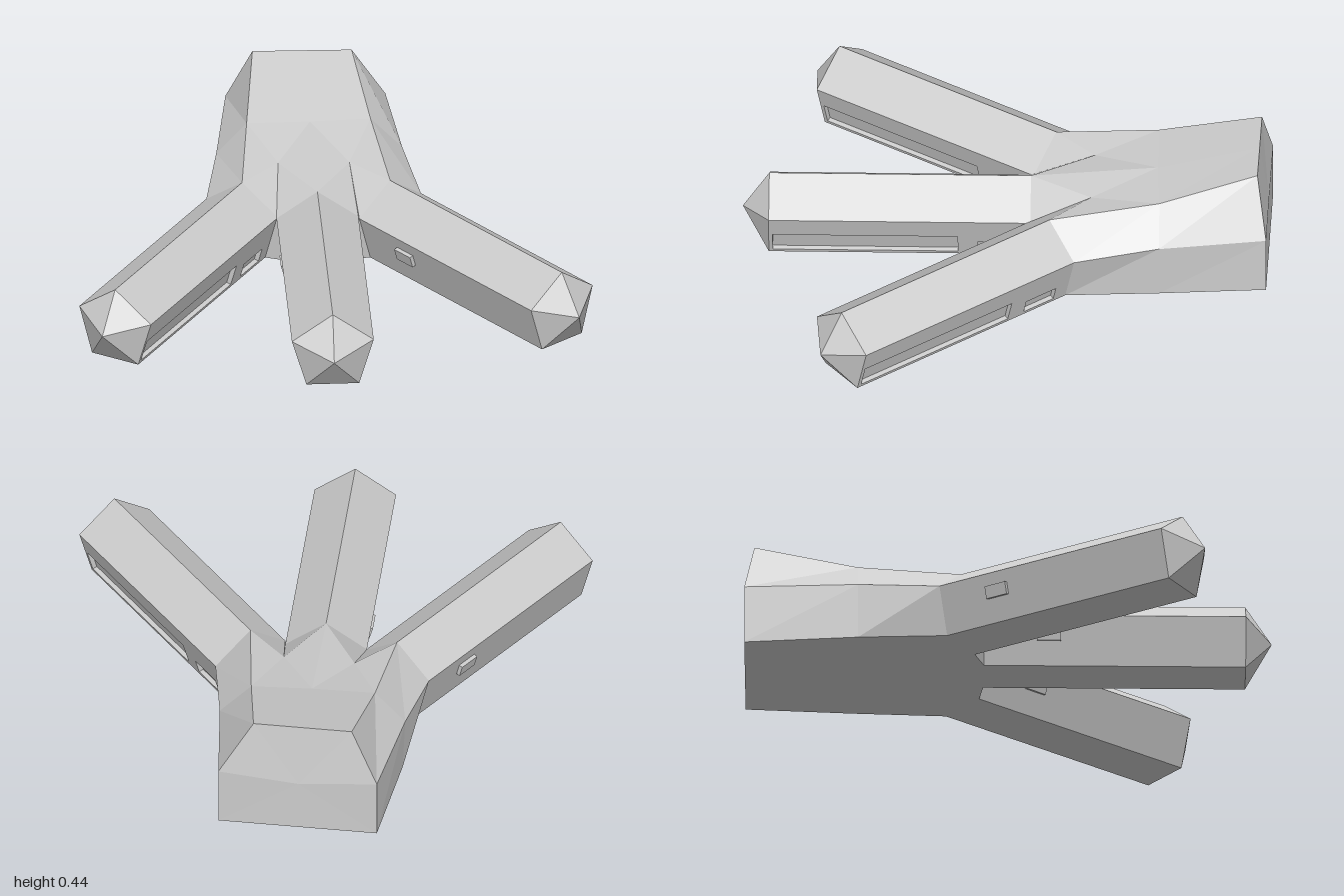
import * as THREE from 'three';

const material = new THREE.MeshStandardMaterial({ color: 0xcccccc, flatShading: true, side: THREE.DoubleSide });
const v = (x, y, z) => new THREE.Vector3(x, y, z);

function named(name, geometry) {
  const mesh = new THREE.Mesh(geometry, material);
  mesh.name = name;
  return mesh;
}

// Flat-faced surface from triangles
function surface(tris) {
  const g = new THREE.BufferGeometry().setFromPoints(tris);
  g.computeVertexNormals();
  return g;
}
const quad = (a, b, c, d) => [a, b, c, a, c, d];
const strip = (back, front, i, j) => quad(back[i], front[i], front[j], back[j]);
const fan = (centre, loop) => loop.flatMap((p, i) => [centre, p, loop[(i + 1) % loop.length]]);

// Pentagonal toe section: half width, height (from -x side over the ridge to +x side)
const SECTION = [[-0.1, 0], [-0.155, 0.185], [0, 0.295], [0.155, 0.185], [0.1, 0]];
const BOTTOM_RIGHT = 4, SHOULDER_RIGHT = 3;

function makeToe(name, x0, z0, x1, z1) {
  const dir = v(x1 - x0, 0, z1 - z0);
  const length = dir.length();
  dir.normalize();
  const right = v(dir.z, 0, -dir.x);
  const ring = (x, z) => SECTION.map(([w, h]) => v(x, h, z).addScaledVector(right, w));
  const base = ring(x0, z0), end = ring(x1, z1);
  const tip = v(x1, 0.14, z1).addScaledVector(dir, 0.1);
  const group = new THREE.Group();
  group.name = name;

  // Shell with pointed end; the +x lower side is left for the slotted plate
  const tris = [];
  for (let i = 0; i < 5; i++) {
    const j = (i + 1) % 5;
    if (i !== SHOULDER_RIGHT) tris.push(...strip(base, end, i, j));
    tris.push(end[i], tip, end[j]);
  }
  group.add(named('toeShell', surface(tris)));

  // Side plate with a long slot and a small window
  const up = base[SHOULDER_RIGHT].clone().sub(base[BOTTOM_RIGHT]);
  const height = up.length();
  up.normalize();
  const inward = dir.clone().cross(up);
  const rect = (Type, a, b, c, d) => new Type([[a, b], [c, b], [c, d], [a, d]].map(p => new THREE.Vector2(...p)));
  const plate = rect(THREE.Shape, 0, 0, length, height);
  plate.holes.push(
    rect(THREE.Path, 0.275, 0.014, length - 0.015, 0.104),
    rect(THREE.Path, 0.06, 0.014, 0.2, 0.073)
  );
  const depth = 0.018;
  const place = new THREE.Matrix4().makeBasis(dir, up, inward).setPosition(base[BOTTOM_RIGHT]);
  group.add(named('slottedSide', new THREE.ExtrudeGeometry(plate, { depth, bevelEnabled: false }).applyMatrix4(place)));
  const floor = new THREE.PlaneGeometry(length, height).rotateY(Math.PI)
    .translate(length / 2, height / 2, depth + 0.0005).applyMatrix4(place);
  group.add(named('slotFloor', floor));

  // Small raised button on the -x side
  const upLeft = base[1].clone().sub(base[0]).normalize();
  const out = dir.clone().cross(upLeft);
  const spot = base[0].clone().addScaledVector(dir, 0.245).addScaledVector(upLeft, 0.12);
  const button = new THREE.BoxGeometry(0.09, 0.048, 0.03)
    .applyMatrix4(new THREE.Matrix4().makeBasis(dir, upLeft, out).setPosition(spot));
  group.add(named('sideButton', button));

  return { group, base };
}

export function createModel() {
  const model = new THREE.Group();
  model.name = 'threeToedFoot';

  const toeR = makeToe('rightToe', -0.32, -0.18, -0.85, 0.65);
  const toeC = makeToe('middleToe', -0.04, -0.09, -0.04, 0.9);
  const toeL = makeToe('leftToe', 0.24, -0.165, 0.845, 0.61);
  const [A, C, B] = [toeR.base, toeC.base, toeL.base];

  // Palm sections, from the -x bottom over the top to the +x bottom
  const mid = [v(-0.385, 0, -0.57), v(-0.395, 0.215, -0.57), v(-0.28, 0.34, -0.57), v(-0.04, 0.34, -0.57),
    v(0.19, 0.34, -0.58), v(0.31, 0.215, -0.58), v(0.3, 0, -0.58)];
  const back = [v(-0.335, 0, -1), v(-0.335, 0.23, -1), v(-0.235, 0.44, -0.96), v(-0.04, 0.44, -0.955),
    v(0.14, 0.44, -0.95), v(0.27, 0.23, -0.985), v(0.27, 0, -0.985)];
  const front = [A[0], A[1], A[2], C[2], B[2], B[3], B[4]];

  const tris = [];
  for (let i = 0; i < 6; i++) tris.push(...strip(back, mid, i, i + 1));
  for (const i of [0, 1, 4, 5]) tris.push(...strip(mid, front, i, i + 1));

  // Valleys between the toes and the webs below them
  tris.push(...fan(v(-0.175, 0.295, -0.33), [mid[2], A[2], A[3], C[1], C[2], mid[3]]));
  tris.push(...fan(v(0.095, 0.295, -0.32), [mid[3], C[2], C[3], B[1], B[2], mid[4]]));
  for (const [l, r] of [[A, C], [C, B]]) tris.push(...quad(l[4], r[0], r[1], l[3]));

  // Back end and sole
  tris.push(...fan(v(-0.035, 0.2, -0.99), back));
  tris.push(...fan(v(-0.04, 0, -0.5),
    [back[0], mid[0], A[0], A[4], C[0], C[4], B[0], B[4], mid[6], back[6]].reverse()));

  model.add(named('palm', surface(tris)), toeR.group, toeC.group, toeL.group);
  return model;
}
